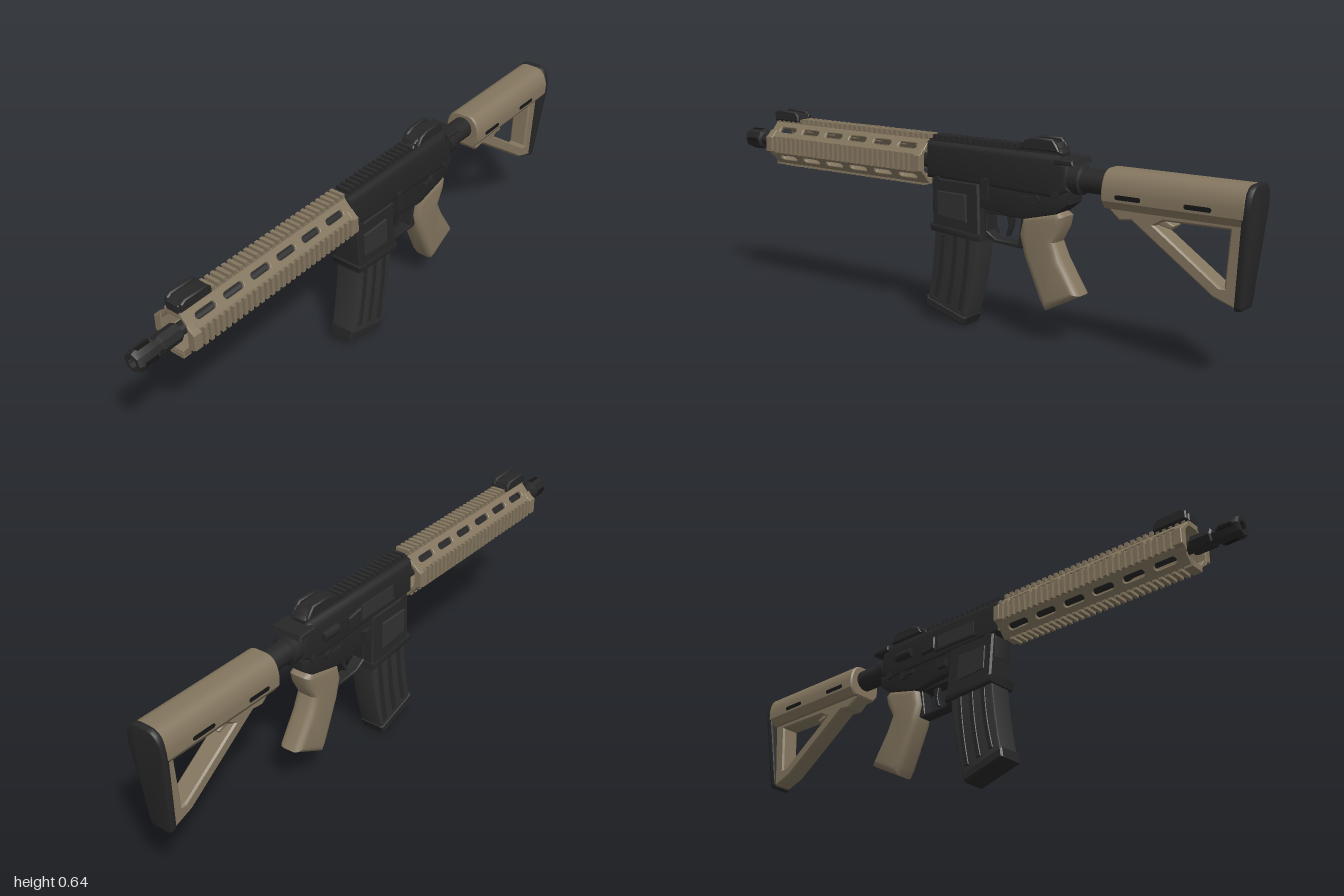
import * as THREE from 'three';
import { mergeGeometries, toCreasedNormals } from 'three/addons/utils/BufferGeometryUtils.js';

const mat = (name, color) => Object.assign(new THREE.MeshStandardMaterial({ color }), { name });

export function createModel() {
  const root = new THREE.Group();
  root.name = 'carbine';
  const tan = mat('tan polymer', 0x84765f);
  const black = mat('black metal', 0x272728);
  const grey = mat('dark grey polymer', 0x313132);
  const dark = mat('recess black', 0x161616);

  const add = (name, geo, material, x = 0, y = 0, z = 0) => {
    const m = new THREE.Mesh(geo, material);
    m.name = name;
    m.position.set(x, y, z);
    root.add(m);
    return m;
  };
  const shapeOf = (pts) => new THREE.Shape(pts.map(([a, b]) => new THREE.Vector2(a, b)));
  const extrude = (shape, depth, bevel, segs = 1) => {
    const g = new THREE.ExtrudeGeometry(shape, {
      depth: depth - 2 * bevel, bevelEnabled: bevel > 0, bevelSize: bevel,
      bevelThickness: bevel, bevelOffset: -bevel, bevelSegments: segs, curveSegments: 8,
    });
    return g.translate(0, 0, bevel - depth / 2);
  };
  // Side outline given as (z, y), extruded symmetrically across x
  const side = (shape, width, bevel = 0.004, segs = 1) =>
    toCreasedNormals(extrude(Array.isArray(shape) ? shapeOf(shape) : shape, width, bevel, segs).rotateY(-Math.PI / 2), 0.6);
  const boxGeo = (x0, x1, y0, y1, z0, z1) =>
    new THREE.BoxGeometry(x1 - x0, y1 - y0, z1 - z0).translate((x0 + x1) / 2, (y0 + y1) / 2, (z0 + z1) / 2);
  const box = (name, material, ...b) => add(name, boxGeo(...b), material);
  // Turned part along z, points as (radius, z)
  const turned = (name, pts, material, segs = 16) =>
    add(name, toCreasedNormals(new THREE.LatheGeometry(pts.map(([r, z]) => new THREE.Vector2(r, z)), segs)
      .rotateX(Math.PI / 2), 0.5), material, 0, 0.525, 0);
  const slot = (u, v, len, h) => {
    const p = new THREE.Path();
    p.absarc(u + len / 2, v, h / 2, -Math.PI / 2, Math.PI / 2);
    p.absarc(u - len / 2, v, h / 2, Math.PI / 2, Math.PI * 1.5);
    p.closePath();
    return p;
  };
  const row = (z0, z1, step, make) => {
    const list = [];
    for (let z = z0; z <= z1; z += step) list.push(make(z));
    return mergeGeometries(list);
  };

  // Barrel and muzzle device
  turned('barrel', [[0, 0.1], [0.024, 0.1], [0.024, 0.6], [0.02, 0.62], [0.02, 0.88], [0, 0.88]], black);
  turned('muzzleDevice', [[0, 0.84], [0.03, 0.84], [0.03, 0.905], [0.024, 0.91], [0.024, 0.925], [0.035, 0.93],
    [0.035, 0.99], [0.03, 1], [0.017, 1], [0.015, 0.93], [0, 0.93]], black, 8);
  for (let i = 0; i < 4; i++) {
    const m = add('muzzleSlot', new THREE.BoxGeometry(0.006, 0.012, 0.045), dark, 0, 0.525, 0.96);
    m.rotation.z = i * Math.PI / 2;
    m.translateX(0.033);
  }

  // Handguard: four slotted diagonal panels
  for (const sx of [-1, 1]) for (const sy of [-1, 1]) {
    const s = shapeOf([[0.14, -0.032], [0.84, -0.032], [0.84, 0.032], [0.14, 0.032]]);
    for (let i = 0; i < 6; i++) s.holes.push(slot(0.215 + i * 0.11, 0, 0.055, 0.022));
    const p = add('handguardPanel', side(s, 0.012, 0.002), tan, sx * 0.04, 0.525 + sy * 0.046, 0);
    p.rotation.z = sx * sy * 0.727;
  }

  // Handguard rails with cross teeth
  box('topRailBase', tan, -0.023, 0.023, 0.582, 0.6, 0.14, 0.843);
  add('topRailTeeth', row(0.15, 0.84, 0.0225, (z) => boxGeo(-0.025, 0.025, 0.6, 0.615, z - 0.006, z + 0.006)), tan);
  box('bottomRailBase', tan, -0.024, 0.024, 0.455, 0.468, 0.14, 0.843);
  add('bottomRailTeeth', row(0.17, 0.82, 0.0225, (z) => boxGeo(-0.024, 0.024, 0.444, 0.456, z - 0.006, z + 0.006)), tan);
  for (const sx of [-1, 1]) {
    const a = sx < 0 ? [-0.066, -0.053] : [0.053, 0.066];
    const b = sx < 0 ? [-0.076, -0.065] : [0.065, 0.076];
    box('sideRailBase', tan, ...a, 0.498, 0.552, 0.14, 0.843);
    add('sideRailTeeth', row(0.17, 0.82, 0.0225, (z) => boxGeo(...b, 0.496, 0.554, z - 0.006, z + 0.006)), tan);
    for (const [z, d] of [[0.83, 0.03], [0.152, 0.024]]) {
      const end = extrude(shapeOf([[0.05, 0.48], [0.062, 0.495], [0.077, 0.499], [0.077, 0.55], [0.066, 0.556],
        [0.05, 0.572]].map(([x, y]) => [sx * x, y])), d, 0.002);
      add('sideRailEnd', toCreasedNormals(end, 0.4), tan, 0, 0, z);
    }
  }
  box('bottomRailEnd', tan, -0.025, 0.025, 0.446, 0.462, 0.815, 0.845);

  // Upper receiver with its rail
  add('upperReceiver', side([[0.14, 0.595], [-0.36, 0.595], [-0.4, 0.575], [-0.41, 0.49], [-0.36, 0.46], [0.14, 0.475]],
    0.09, 0.018, 3), black);
  box('receiverRailBase', black, -0.023, 0.023, 0.585, 0.601, -0.37, 0.14);
  add('receiverRailTeeth', row(-0.355, 0.135, 0.0225, (z) => boxGeo(-0.025, 0.025, 0.6, 0.615, z - 0.006, z + 0.006)), black);
  box('ejectionPortCover', grey, -0.049, -0.043, 0.5, 0.55, -0.13, 0.03);
  box('ejectionPortHinge', black, -0.052, -0.043, 0.494, 0.502, -0.14, 0.04);
  const assist = add('forwardAssist', new THREE.CylinderGeometry(0.017, 0.017, 0.07, 10), black, -0.045, 0.53, -0.285);
  assist.rotation.x = Math.PI / 2;
  add('caseDeflector', side([[-0.14, 0.55], [-0.2, 0.54], [-0.2, 0.5], [-0.14, 0.505]], 0.016), black, -0.047, 0, 0);
  add('chargingHandle', side([[-0.36, 0.59], [-0.425, 0.588], [-0.43, 0.572], [-0.36, 0.572]], 0.112), black);

  // Lower receiver
  add('lowerReceiver', side([[0.115, 0.49], [-0.41, 0.49], [-0.405, 0.45], [-0.36, 0.415], [-0.24, 0.385],
    [-0.08, 0.4], [-0.06, 0.38], [0.11, 0.4]], 0.082, 0.008, 2), black);
  // Magazine well widens downwards
  const well = side([[0.113, 0.48], [-0.075, 0.48], [-0.085, 0.31], [0.105, 0.32]], 0.1, 0.006);
  const wp = well.attributes.position;
  for (let i = 0; i < wp.count; i++) wp.setX(i, wp.getX(i) * (1.08 - (wp.getY(i) - 0.32) * 0.9));
  well.computeVertexNormals();
  add('magazineWell', well, black);
  add('magazineWellLip', side([[0.116, 0.332], [-0.088, 0.318], [-0.088, 0.292], [0.11, 0.306]], 0.114, 0.007, 2), black);
  for (const sx of [-1, 1]) {
    add('wellPanel', side([[0.085, 0.44], [-0.03, 0.44], [-0.035, 0.35], [0.08, 0.36]], 0.01, 0.002), grey, sx * 0.051, 0, 0);
    const sel = add('selector', new THREE.CylinderGeometry(0.015, 0.015, 0.05, 12), black, sx * 0.025, 0.455, -0.29);
    sel.rotation.z = Math.PI / 2;
    box('selectorLever', black, sx * 0.048 - 0.004, sx * 0.048 + 0.004, 0.449, 0.461, -0.29, -0.24);
    for (const z of [0.09, -0.36]) {
      const pin = add('takedownPin', new THREE.CylinderGeometry(0.012, 0.012, 0.01, 10), black, sx * 0.044, 0.475, z);
      pin.rotation.z = Math.PI / 2;
    }
  }
  box('magazineRelease', black, -0.056, -0.04, 0.425, 0.455, -0.125, -0.09);
  box('boltCatch', black, 0.038, 0.054, 0.43, 0.5, -0.115, -0.09);

  // Trigger guard and trigger
  const guard = shapeOf([[-0.07, 0.41], [-0.26, 0.41], [-0.245, 0.3], [-0.225, 0.287], [-0.12, 0.292], [-0.07, 0.312]]);
  guard.holes.push(shapeOf([[-0.092, 0.383], [-0.09, 0.325], [-0.125, 0.304], [-0.21, 0.301], [-0.222, 0.383]]));
  add('triggerGuard', side(guard, 0.042, 0.003), black);
  add('trigger', side([[-0.155, 0.4], [-0.185, 0.4], [-0.18, 0.35], [-0.165, 0.315], [-0.155, 0.315], [-0.165, 0.35]],
    0.018, 0.002), black);

  // Pistol grip
  add('grip', side([[-0.235, 0.395], [-0.36, 0.425], [-0.385, 0.41], [-0.378, 0.375], [-0.352, 0.325], [-0.375, 0.275],
    [-0.442, 0.17], [-0.32, 0.105], [-0.3, 0.135], [-0.24, 0.27], [-0.222, 0.335]], 0.084, 0.024, 4), tan);

  // Curved magazine with side ribs
  const mag = new THREE.Shape();
  mag.moveTo(0.1, 0.36);
  mag.quadraticCurveTo(0.108, 0.19, 0.14, 0.055);
  mag.lineTo(-0.015, 0.01);
  mag.quadraticCurveTo(-0.065, 0.16, -0.08, 0.36);
  add('magazine', side(mag, 0.086, 0.007, 2), grey);
  add('magazineBase', side([[0.14, 0.08], [0.145, 0.045], [-0.012, 0], [-0.026, 0.03]], 0.09, 0.006), black);
  for (const sx of [-1, 1]) for (const off of [0, 0.05, 0.1]) {
    const rib = new THREE.Shape();
    rib.moveTo(0.075 - off, 0.3);
    rib.quadraticCurveTo(0.08 - off, 0.19, 0.108 - off, 0.085 - off * 0.3);
    rib.lineTo(0.09 - off, 0.08 - off * 0.3);
    rib.quadraticCurveTo(0.062 - off, 0.19, 0.057 - off, 0.3);
    add('magazineRib', side(rib, 0.008, 0.002), black, sx * 0.0425, 0, 0);
  }

  // Folding sights
  const sight = (name, pts, wing) => {
    add(name + 'Base', side(pts, 0.05, 0.004), black);
    for (const sx of [-1, 1]) add(name + 'Wing', side(wing, 0.016, 0.004), black, sx * 0.026, 0, 0);
  };
  sight('frontSight', [[0.845, 0.6], [0.845, 0.625], [0.82, 0.634], [0.73, 0.63], [0.72, 0.6]],
    [[0.84, 0.605], [0.84, 0.632], [0.825, 0.642], [0.74, 0.64], [0.725, 0.625], [0.725, 0.605]]);
  sight('rearSight', [[-0.205, 0.6], [-0.22, 0.622], [-0.27, 0.634], [-0.35, 0.63], [-0.37, 0.6]],
    [[-0.225, 0.605], [-0.24, 0.632], [-0.27, 0.642], [-0.34, 0.642], [-0.355, 0.625], [-0.365, 0.605]]);

  // Stock tube and lock ring
  turned('stockTube', [[0, -0.58], [0.037, -0.58], [0.037, -0.44], [0.046, -0.435], [0.046, -0.4], [0, -0.4]], black, 20);

  // Stock body: arched section along z
  const arch = new THREE.Shape();
  arch.moveTo(-0.045, 0.46);
  arch.lineTo(0.045, 0.46);
  arch.lineTo(0.064, 0.485);
  arch.lineTo(0.065, 0.515);
  arch.bezierCurveTo(0.062, 0.55, 0.045, 0.576, 0.018, 0.576);
  arch.lineTo(-0.018, 0.576);
  arch.bezierCurveTo(-0.045, 0.576, -0.062, 0.55, -0.065, 0.515);
  arch.lineTo(-0.064, 0.485);
  add('stockBody', toCreasedNormals(extrude(arch, 0.45, 0.005), 0.5), tan, 0, 0, -0.755);
  for (const sx of [-1, 1]) for (const z of [-0.62, -0.84])
    add('stockSlot', side(new THREE.Shape(slot(z, 0.5, 0.07, 0.014).getPoints(6)), 0.004, 0), dark, sx * 0.0637, 0, 0);

  // Open triangular stock frame
  const frame = shapeOf([[-0.53, 0.48], [-0.532, 0.462], [-0.575, 0.425], [-0.615, 0.43], [-0.88, 0.247], [-0.955, 0.222],
    [-0.978, 0.48]]);
  frame.holes.push(shapeOf([[-0.69, 0.425], [-0.72, 0.442], [-0.925, 0.445], [-0.915, 0.28], [-0.9, 0.28]]));
  add('stockFrame', side(frame, 0.066, 0.006), tan);
  add('stockLever', side([[-0.6, 0.465], [-0.62, 0.445], [-0.74, 0.418], [-0.75, 0.43], [-0.68, 0.465]], 0.045), tan);

  // Butt pad leans forward towards its foot
  const pad = new THREE.Shape();
  pad.moveTo(-0.03, 0.218);
  pad.lineTo(0.03, 0.218);
  pad.quadraticCurveTo(0.04, 0.22, 0.041, 0.24);
  pad.lineTo(0.064, 0.49);
  pad.bezierCurveTo(0.066, 0.55, 0.05, 0.578, 0.018, 0.578);
  pad.lineTo(-0.018, 0.578);
  pad.bezierCurveTo(-0.05, 0.578, -0.066, 0.55, -0.064, 0.49);
  pad.lineTo(-0.041, 0.24);
  pad.quadraticCurveTo(-0.04, 0.22, -0.03, 0.218);
  const padGeo = extrude(pad, 0.024, 0.006, 2);
  const pp = padGeo.attributes.position;
  for (let i = 0; i < pp.count; i++) pp.setZ(i, pp.getZ(i) - 0.988 + (0.578 - pp.getY(i)) * 0.08);
  add('buttPad', toCreasedNormals(padGeo, 0.6), black);

  return root;
}
